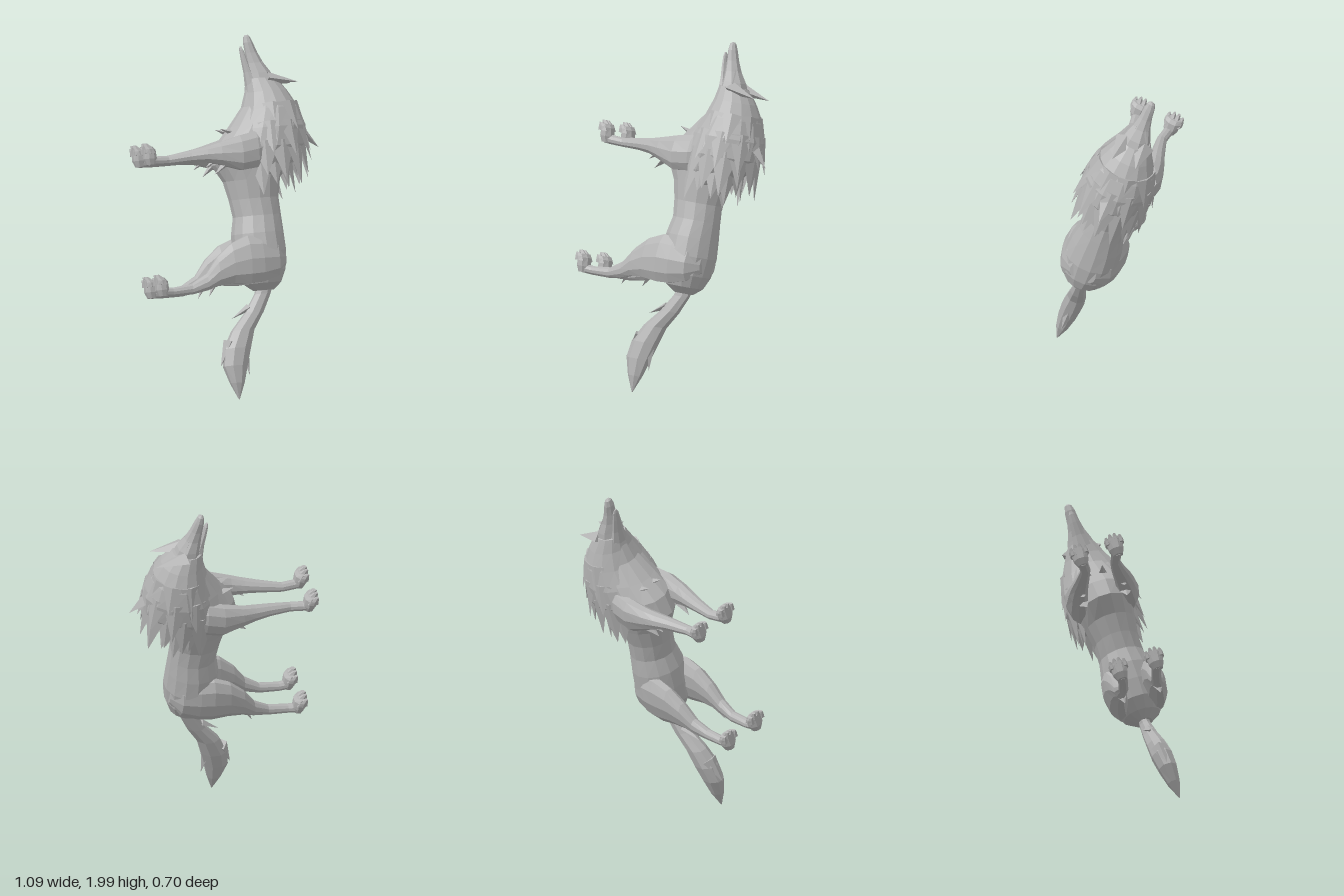
import * as THREE from 'three';

const fur = new THREE.MeshStandardMaterial({ color: 0xb4b4b4, flatShading: true });
fur.name = 'grey fur';

function facet(geometry, name) {
  const g = geometry.index ? geometry.toNonIndexed() : geometry;
  g.computeVertexNormals();
  const mesh = new THREE.Mesh(g, fur);
  mesh.name = name;
  return mesh;
}

// Elliptical rings joined along y or x. Row: [t, centre a, centre z, radius a, radius z]
function loft(name, axis, rows, sides = 10) {
  const pos = [], index = [];
  const point = (t, a, z) => (axis === 'y' ? pos.push(a, t, z) : pos.push(t, a, z));
  for (const [t, a, z, ra, rz] of rows)
    for (let j = 0; j < sides; j++) {
      const q = ((j + 0.5) / sides) * Math.PI * 2;
      point(t, a + ra * Math.cos(q), z + rz * Math.sin(q));
    }
  const n = rows.length, first = n * sides, last = first + 1;
  point(rows[0][0], rows[0][1], rows[0][2]);
  point(rows[n - 1][0], rows[n - 1][1], rows[n - 1][2]);
  const flip = (axis === 'x') !== (rows[n - 1][0] < rows[0][0]);
  const tri = (a, b, c) => (flip ? index.push(a, c, b) : index.push(a, b, c));
  for (let j = 0; j < sides; j++) {
    const k = (j + 1) % sides;
    for (let i = 0; i < n - 1; i++) {
      const r = i * sides, s = r + sides;
      tri(r + j, s + j, r + k);
      tri(s + j, s + k, r + k);
    }
    tri(first, j, k);
    tri(last, first - sides + k, first - sides + j);
  }
  const g = new THREE.BufferGeometry();
  g.setAttribute('position', new THREE.Float32BufferAttribute(pos, 3));
  g.setIndex(index);
  return facet(g, name);
}

// Loft along the spine from [y, belly x, back x, half width]
const spine = (name, rows, sides) =>
  loft(name, 'y', rows.map(([y, lo, hi, w]) => [y, (lo + hi) / 2, 0, (hi - lo) / 2, w]), sides);

// Pointed tuft between two points; "flat" thins it along the given outward direction
function tuft(name, base, tip, radius, flat = 1, outward = [1, 0, 0]) {
  const a = new THREE.Vector3(...base), up = new THREE.Vector3(...tip).sub(a);
  const h = up.length();
  up.normalize();
  const side = new THREE.Vector3(...outward).cross(up).normalize();
  const depth = side.clone().cross(up);
  const g = new THREE.ConeGeometry(radius, h, 4);
  g.scale(1, 1, flat);
  g.translate(0, h / 2, 0);
  g.applyMatrix4(new THREE.Matrix4().makeBasis(side, up, depth).setPosition(a));
  return facet(g, name);
}

function paw(name, y, z) {
  const g = new THREE.Group();
  g.name = name;
  g.add(loft('pad', 'y', [
    [y - 0.035, -0.51, z, 0.028, 0.03], [y, -0.513, z, 0.04, 0.046],
    [y + 0.05, -0.515, z, 0.037, 0.052], [y + 0.07, -0.523, z, 0.028, 0.048]], 8));
  for (let i = 0; i < 4; i++) {
    const reach = i === 1 || i === 2 ? 0.09 : 0.075, tz = z + (i - 1.5) * 0.027;
    g.add(loft('toe', 'y', [
      [y + 0.03, -0.52, tz, 0.034, 0.016], [y + reach - 0.02, -0.527, tz, 0.026, 0.016],
      [y + reach, -0.54, tz, 0.013, 0.008]], 6));
  }
  return g;
}

export function createModel() {
  const model = new THREE.Group();
  model.name = 'wolf';
  const wolf = new THREE.Group();
  wolf.name = 'tiltedBody';
  wolf.rotation.x = -0.305;
  wolf.position.z = 0.32;
  model.add(wolf);

  // Trunk from rump to neck
  wolf.add(spine('trunk', [
    [0.62, 0.07, 0.19, 0.05], [0.66, 0.02, 0.235, 0.11], [0.73, -0.02, 0.265, 0.15],
    [0.84, -0.03, 0.28, 0.165], [0.95, -0.03, 0.275, 0.155], [1.05, -0.01, 0.27, 0.135],
    [1.15, -0.025, 0.265, 0.132], [1.26, -0.05, 0.285, 0.15], [1.36, -0.11, 0.33, 0.165],
    [1.47, -0.08, 0.36, 0.18], [1.57, 0.01, 0.36, 0.16], [1.68, 0.1, 0.34, 0.12],
    [1.8, 0.14, 0.31, 0.08]], 14));

  // Thick mane
  const mane = [
    [1.26, 0.05, 0.28, 0.13], [1.34, 0.0, 0.37, 0.18], [1.44, -0.01, 0.46, 0.215],
    [1.55, 0.035, 0.465, 0.21], [1.66, 0.1, 0.43, 0.18], [1.76, 0.13, 0.375, 0.13],
    [1.84, 0.14, 0.315, 0.088]];
  wolf.add(spine('mane', mane, 14));

  // Locks lying against the mane, tips pointing to the tail: [ring, count, length, radius, tip flare]
  const tufts = new THREE.Group();
  tufts.name = 'maneTufts';
  wolf.add(tufts);
  const locks = [[1, 9, 0.12, 0.07, 1.0], [2, 9, 0.17, 0.085, 1.0], [3, 7, 0.15, 0.075, 1.12], [4, 6, 0.14, 0.06, 1.25]];
  for (const [k, count, length, radius, flare] of locks) {
    const [y, lo, hi, w] = mane[k];
    for (let j = 0; j < count; j++) {
      const q = ((j + 0.5) / count - 0.5) * 4.2;
      const cx = (lo + hi) / 2, rx = (hi - lo) / 2;
      const at = (s, f) => [cx + rx * f * Math.cos(q), s, w * f * Math.sin(q)];
      const len = length + 0.03 * ((j * 2 + k) % 3);
      tufts.add(tuft('lock', at(y + 0.03, 0.87), at(y - len, flare), radius, 0.32,
        [Math.cos(q), 0, Math.sin(q)]));
    }
  }
  tufts.add(tuft('crestTuft', [0.4, 1.56, 0], [0.54, 1.415, 0], 0.075, 0.6));
  tufts.add(tuft('crestTuft', [0.34, 1.42, 0], [0.4, 1.26, 0], 0.07, 0.6));
  tufts.add(tuft('crestTuft', [0.25, 1.28, 0], [0.295, 1.13, 0], 0.05, 0.5));

  // Head, snout and lower jaw
  wolf.add(spine('head', [
    [1.74, 0.15, 0.33, 0.1], [1.81, 0.15, 0.315, 0.094], [1.87, 0.155, 0.29, 0.077],
    [1.93, 0.155, 0.25, 0.052], [1.99, 0.15, 0.222, 0.038], [2.05, 0.145, 0.2, 0.032],
    [2.085, 0.15, 0.185, 0.022], [2.095, 0.16, 0.175, 0.01]], 8));
  wolf.add(spine('lowerJaw', [
    [1.8, 0.135, 0.2, 0.06], [1.88, 0.132, 0.175, 0.04], [1.96, 0.122, 0.152, 0.028],
    [2.01, 0.118, 0.14, 0.02], [2.03, 0.12, 0.13, 0.008]], 8));

  // Tail
  wolf.add(loft('tail', 'y', [
    [0.7, 0.155, 0, 0.05, 0.035], [0.6, 0.12, 0, 0.05, 0.034], [0.5, 0.06, 0.002, 0.058, 0.045],
    [0.4, -0.02, 0.006, 0.07, 0.056], [0.3, -0.065, 0.012, 0.083, 0.064], [0.2, -0.088, 0.018, 0.075, 0.057],
    [0.1, -0.087, 0.023, 0.044, 0.038], [0.005, -0.085, 0.026, 0.003, 0.003]], 8));
  wolf.add(tuft('tailTuft', [-0.025, 0.3, 0.01], [-0.005, 0.14, 0.015], 0.045, 0.7));
  wolf.add(tuft('tailTuft', [-0.11, 0.34, 0.01], [-0.175, 0.2, 0.015], 0.05, 0.7));
  wolf.add(tuft('tailTuft', [0.03, 0.53, 0], [-0.08, 0.47, 0], 0.03, 0.7));

  // Mirrored parts
  for (const s of [1, -1]) {
    const side = s > 0 ? 'Left' : 'Right';
    const limb = (name, rows) =>
      wolf.add(loft(name + side, 'x', rows.map(([x, y, z, ry, rz]) => [x, y, z * s, ry, rz]), 10));
    limb('frontLeg', [
      [0.24, 1.45, 0.11, 0.05, 0.04], [0.12, 1.43, 0.14, 0.11, 0.065], [0.02, 1.415, 0.15, 0.105, 0.068],
      [-0.1, 1.42, 0.14, 0.068, 0.056], [-0.18, 1.422, 0.125, 0.047, 0.05], [-0.27, 1.418, 0.108, 0.036, 0.041],
      [-0.4, 1.408, 0.09, 0.027, 0.03], [-0.47, 1.41, 0.098, 0.028, 0.03], [-0.52, 1.415, 0.105, 0.03, 0.033]]);
    limb('hindLeg', [
      [0.26, 0.8, 0.05, 0.05, 0.03], [0.2, 0.8, 0.095, 0.11, 0.058], [0.1, 0.8, 0.11, 0.14, 0.07],
      [0.02, 0.8, 0.118, 0.145, 0.07], [-0.08, 0.785, 0.118, 0.12, 0.06],
      [-0.17, 0.745, 0.115, 0.085, 0.048], [-0.24, 0.69, 0.11, 0.05, 0.037],
      [-0.33, 0.657, 0.1, 0.032, 0.03], [-0.45, 0.65, 0.1, 0.026, 0.029], [-0.52, 0.655, 0.107, 0.028, 0.032]]);
    wolf.add(paw('frontPaw' + side, 1.425, 0.106 * s));
    wolf.add(paw('hindPaw' + side, 0.665, 0.108 * s));
    // Elbow, hock and chest tufts
    wolf.add(tuft('elbowTuft', [-0.04, 1.39, 0.135 * s], [-0.14, 1.3, 0.12 * s], 0.05, 0.6));
    wolf.add(tuft('elbowTuft', [-0.1, 1.41, 0.13 * s], [-0.19, 1.345, 0.12 * s], 0.04, 0.6));
    wolf.add(tuft('hockTuft', [-0.19, 0.69, 0.11 * s], [-0.235, 0.605, 0.108 * s], 0.035, 0.6));
    wolf.add(tuft('chestTuft', [0.04, 1.53, 0.04 * s], [-0.06, 1.565, 0.05 * s], 0.04, 0.6, [0, 1, 0]));
    // Ears swept back
    wolf.add(tuft('ear' + side, [0.25, 1.835, 0.055 * s], [0.43, 1.8, 0.075 * s], 0.062, 0.6, [0, 1, 0]));
    // Brow ridge
    wolf.add(tuft('brow' + side, [0.255, 1.86, 0.045 * s], [0.23, 1.95, 0.025 * s], 0.025, 0.6));
  }
  return model;
}
